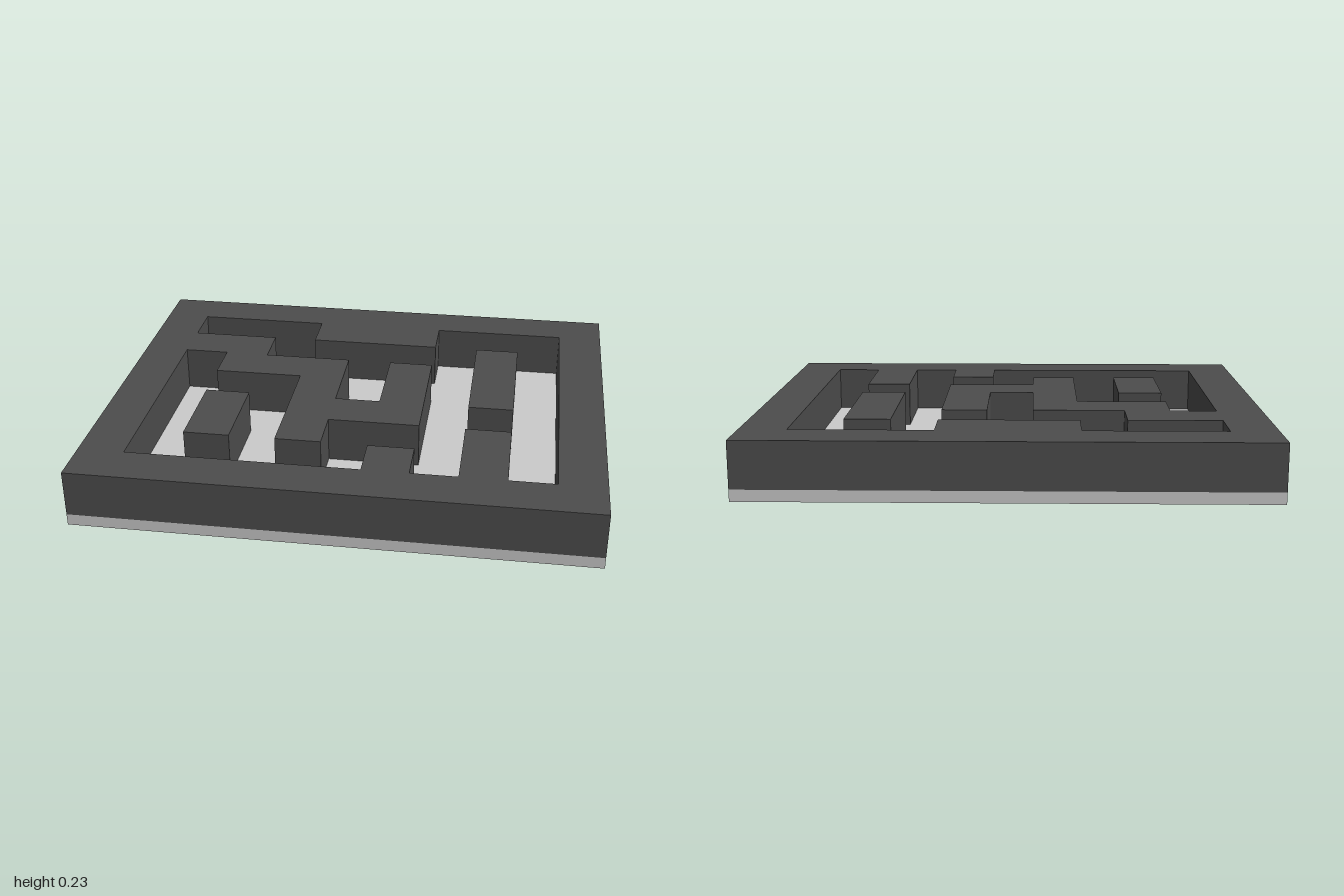
import * as THREE from 'three';

const CELL = 2 / 11; // the maze lies on an 11 x 9 grid of square cells
const COLS = 11, ROWS = 9;
const BASE_H = CELL / 4;

// Grid corner (column, row from the back) to shape plane
const corner = ([c, r]) => new THREE.Vector2((c - COLS / 2) * CELL, (ROWS / 2 - r) * CELL);
// Counter-clockwise rectangle, so that holes inside it wind the other way
const rect = (c0, r0, c1, r1) => [[c0, r0], [c0, r1], [c1, r1], [c1, r0]].map(corner);

// Outline of the connected corridors, walked clockwise from the back left
const CORRIDOR = [
  [1, 1], [4, 1], [4, 2], [7, 2], [7, 1], [10, 1], [10, 8], [9, 8], [9, 6], [8, 6], [8, 8],
  [7, 8], [7, 7], [6, 7], [6, 8], [1, 8], [1, 3], [2, 3], [2, 4], [4, 4], [4, 7], [5, 7],
  [5, 6], [7, 6], [7, 3], [6, 3], [6, 5], [5, 5], [5, 3], [3, 3], [3, 2], [1, 2],
];

export function createModel() {
  const model = new THREE.Group();
  model.name = 'maze';
  const baseMat = new THREE.MeshStandardMaterial({ color: 0xcccccc });
  const wallMat = new THREE.MeshStandardMaterial({ color: 0x4d4d4d });

  // Floor slab
  const floor = new THREE.Mesh(new THREE.BoxGeometry(COLS * CELL, BASE_H, ROWS * CELL), baseMat);
  floor.name = 'floor';
  floor.position.y = BASE_H / 2;
  model.add(floor);

  // Walls, one cell high, standing on the floor
  const addWall = (name, shape) => {
    const geo = new THREE.ExtrudeGeometry(shape, { depth: CELL, bevelEnabled: false });
    geo.rotateX(-Math.PI / 2);
    const wall = new THREE.Mesh(geo, wallMat);
    wall.name = name;
    wall.position.y = BASE_H;
    model.add(wall);
  };

  // Outer frame with every wall that joins it
  const frame = new THREE.Shape(rect(0, 0, COLS, ROWS));
  frame.holes.push(new THREE.Path(CORRIDOR.map(corner)));
  addWall('outerWalls', frame);

  // Free-standing wall blocks
  addWall('rightIslandWall', new THREE.Shape(rect(8, 2, 9, 5)));
  addWall('leftIslandWall', new THREE.Shape(rect(2, 5, 3, 7)));

  return model;
}
